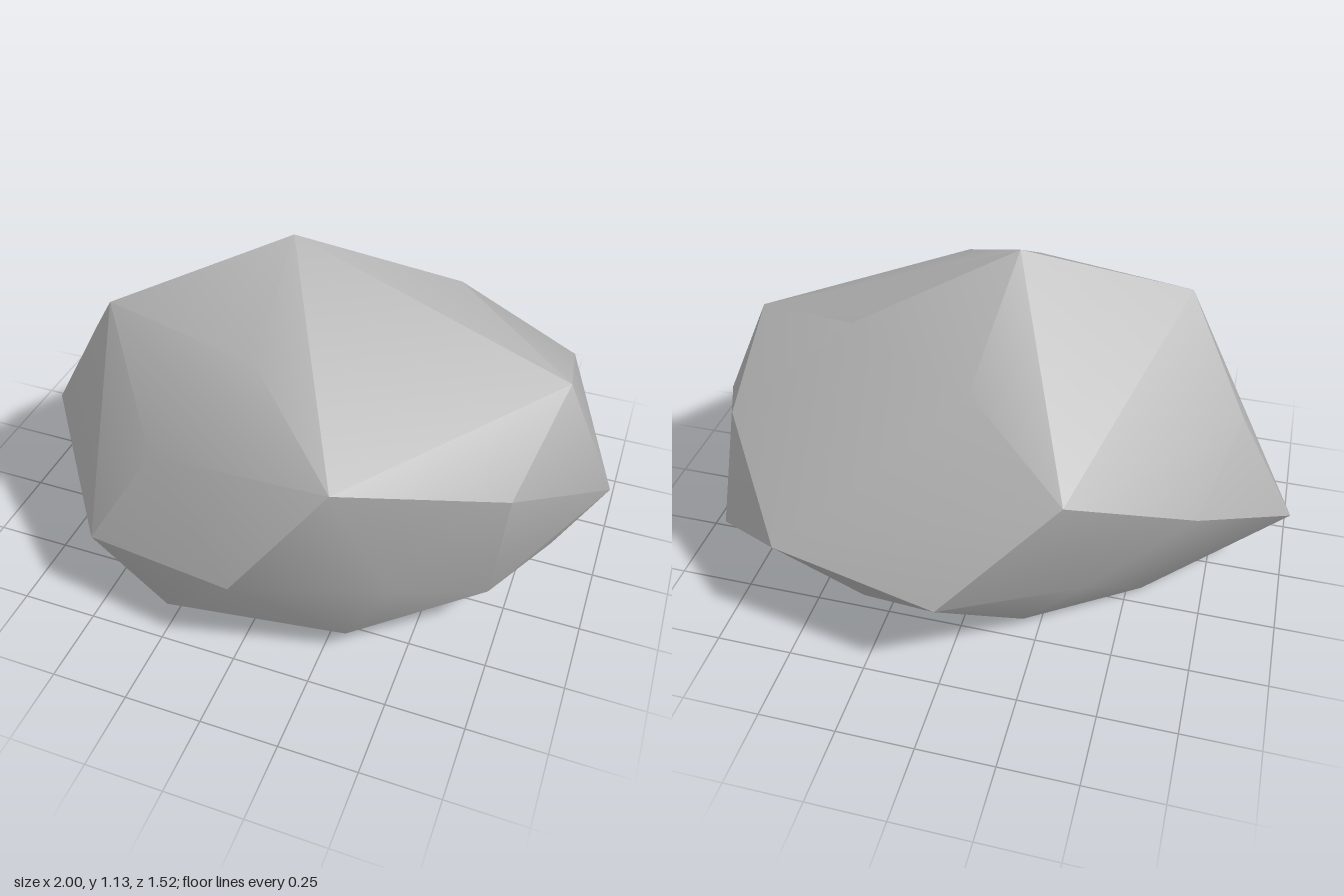
import * as THREE from 'three';
import { ConvexGeometry } from 'three/addons/geometries/ConvexGeometry.js';
import { toCreasedNormals } from 'three/addons/utils/BufferGeometryUtils.js';

// Corners of the boulder, grouped by height and side
const crown = [
  [-0.06, 1.13, 0.03], [-0.58, 0.92, 0.28], [0.42, 0.93, -0.2],
  [0.83, 0.795, 0.03], [-0.04, 0.91, 0.41], [0, 0.85, -0.36],
];
const frontSide = [
  [0.75, 0.61, 0.4], [0.29, 0.73, 0.68], [0, 0.33, 0.76],
  [-0.51, 0.29, 0.675], [-0.31, 0.63, 0.6], [0.47, 0.35, 0.62],
];
const endsAndBack = [
  [1, 0.42, 0.03], [0.79, 0.63, -0.36], [0.55, 0.38, -0.67],
  [0, 0.34, -0.765], [-0.34, 0.67, -0.59], [-0.4, 0.3, -0.52],
  [-0.71, 0.48, -0.33], [-1, 0.25, 0.03], [-0.8, 0.62, 0.03],
];
const underside = [
  [0.85, 0.13, 0.03], [0.71, 0.19, 0.37], [0.32, 0.085, 0.6],
  [-0.28, 0.035, 0.645], [-0.71, 0.07, 0.38], [-0.715, 0, 0.03],
  [-0.55, 0.02, -0.2], [-0.2, 0.045, -0.46], [0.32, 0.09, -0.53],
  [0.87, 0.165, -0.39],
];

export function createModel() {
  const group = new THREE.Group();
  group.name = 'rock';
  const stone = new THREE.MeshStandardMaterial({ color: 0xb0b0b0 });
  stone.name = 'stone grey';

  // One faceted boulder: soft within each broad face, sharp at the ridges
  const points = [...crown, ...frontSide, ...endsAndBack, ...underside]
    .map((p) => new THREE.Vector3(...p));
  const boulder = new THREE.Mesh(
    toCreasedNormals(new ConvexGeometry(points), THREE.MathUtils.degToRad(32)), stone);
  boulder.name = 'boulder';
  group.add(boulder);
  return group;
}
